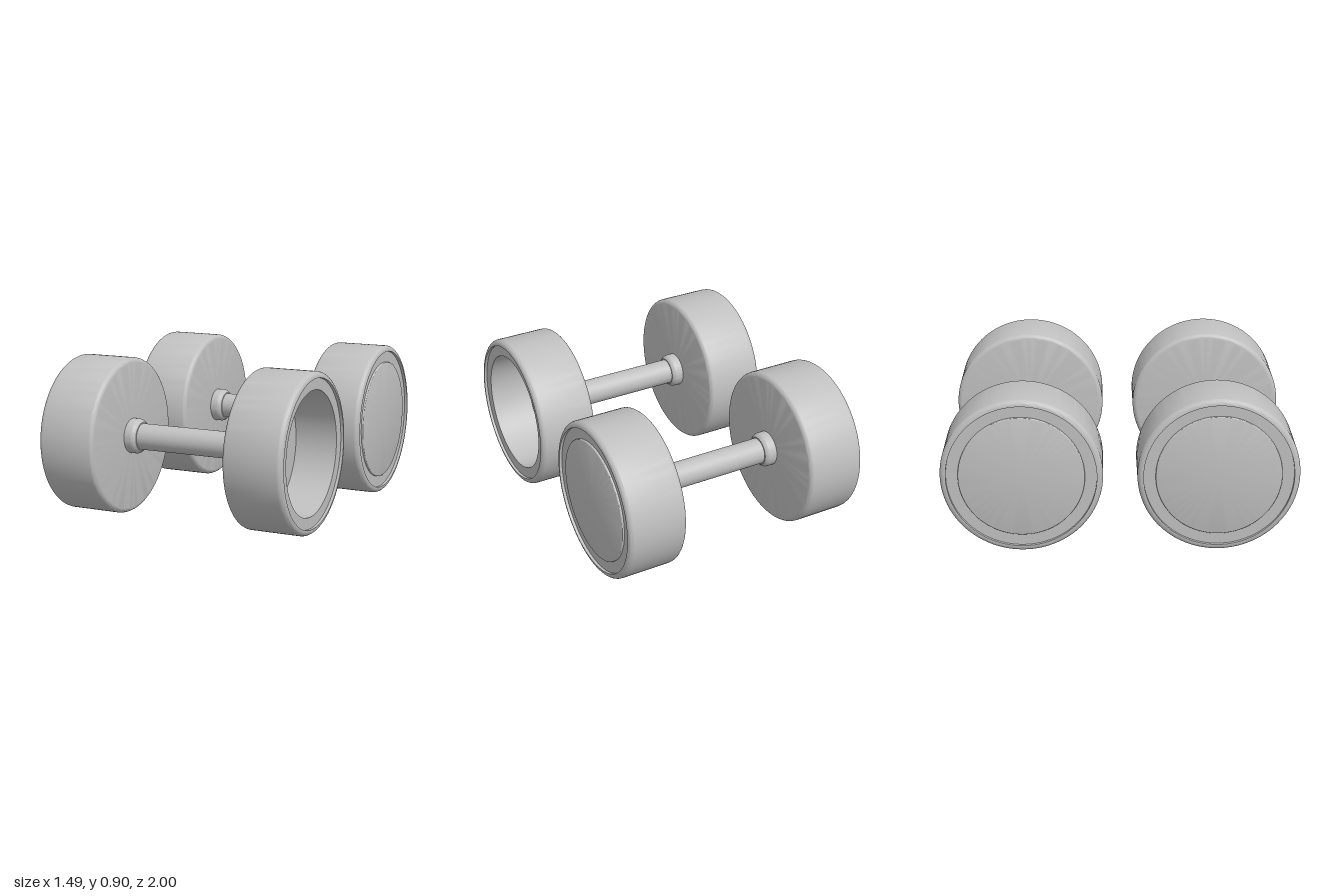
import * as THREE from 'three';
import { toCreasedNormals } from 'three/addons/utils/BufferGeometryUtils.js';

const R = 0.4525; // weight radius, also the axle height
const SEGMENTS = 96;

// Revolves [radius, x] points around the x axis, keeping sharp edges sharp
function turned(points) {
  const lathe = new THREE.LatheGeometry(points.map(([r, x]) => new THREE.Vector2(r, x)), SEGMENTS);
  lathe.rotateZ(-Math.PI / 2);
  return toCreasedNormals(lathe, 0.55);
}

// Quarter-round points between two angles
function fillet(r, x, radius, from, to, steps = 6) {
  return Array.from({ length: steps + 1 }, (_, i) => {
    const a = from + (to - from) * i / steps;
    return [r + radius * Math.cos(a), x + radius * Math.sin(a)];
  });
}

export function createModel() {
  const model = new THREE.Group();
  model.name = 'dumbbellPair';

  const metal = new THREE.MeshStandardMaterial({ color: 0xc0c0c0 });
  metal.name = 'light grey metal';

  // Hollow weight: rounded drum, recessed rim face and deep central cavity
  const f = 0.03;
  const weightGeometry = turned([
    [0, 0.398],
    ...fillet(R - f, 0.398 + f, f, -Math.PI / 2, 0),
    ...fillet(R - f, 0.747 - f, f, 0, Math.PI / 2),
    [0.418, 0.747], [0.418, 0.73],
    [0.352, 0.73], [0.352, 0.48], [0, 0.48],
  ]);

  // End cap: shallow raised disc that closes the cavity
  const capGeometry = turned([
    [0.352, 0.715], [0.352, 0.736],
    ...fillet(0.346, 0.736, 0.006, 0, Math.PI / 2, 3),
    [0, 0.742],
  ]);

  // Collar: stepped ring with a rounded shoulder towards the grip
  const collarGeometry = turned([
    [0.07, 0.33], [0.083, 0.33],
    ...fillet(0.073, 0.36, 0.028, -Math.PI / 3, 0),
    [0.101, 0.4],
  ]);

  const handleGeometry = new THREE.CylinderGeometry(0.076, 0.076, 0.8, 64, 1, true);
  handleGeometry.rotateZ(Math.PI / 2);

  const add = (parent, geometry, name) => {
    const mesh = new THREE.Mesh(geometry, metal);
    mesh.name = name;
    parent.add(mesh);
  };

  for (const front of [true, false]) {
    const dumbbell = new THREE.Group();
    dumbbell.name = front ? 'frontDumbbell' : 'backDumbbell';
    dumbbell.position.set(0, R, front ? 0.5475 : -0.5475);
    add(dumbbell, handleGeometry, 'handle');

    for (const left of [true, false]) {
      const end = new THREE.Group();
      end.name = left ? 'leftEnd' : 'rightEnd';
      end.rotation.y = left ? 0 : Math.PI;
      add(end, weightGeometry, 'weight');
      add(end, collarGeometry, 'collar');
      // The front dumbbell is open at its left end
      if (!(front && left)) add(end, capGeometry, 'endCap');
      dumbbell.add(end);
    }
    model.add(dumbbell);
  }
  return model;
}
